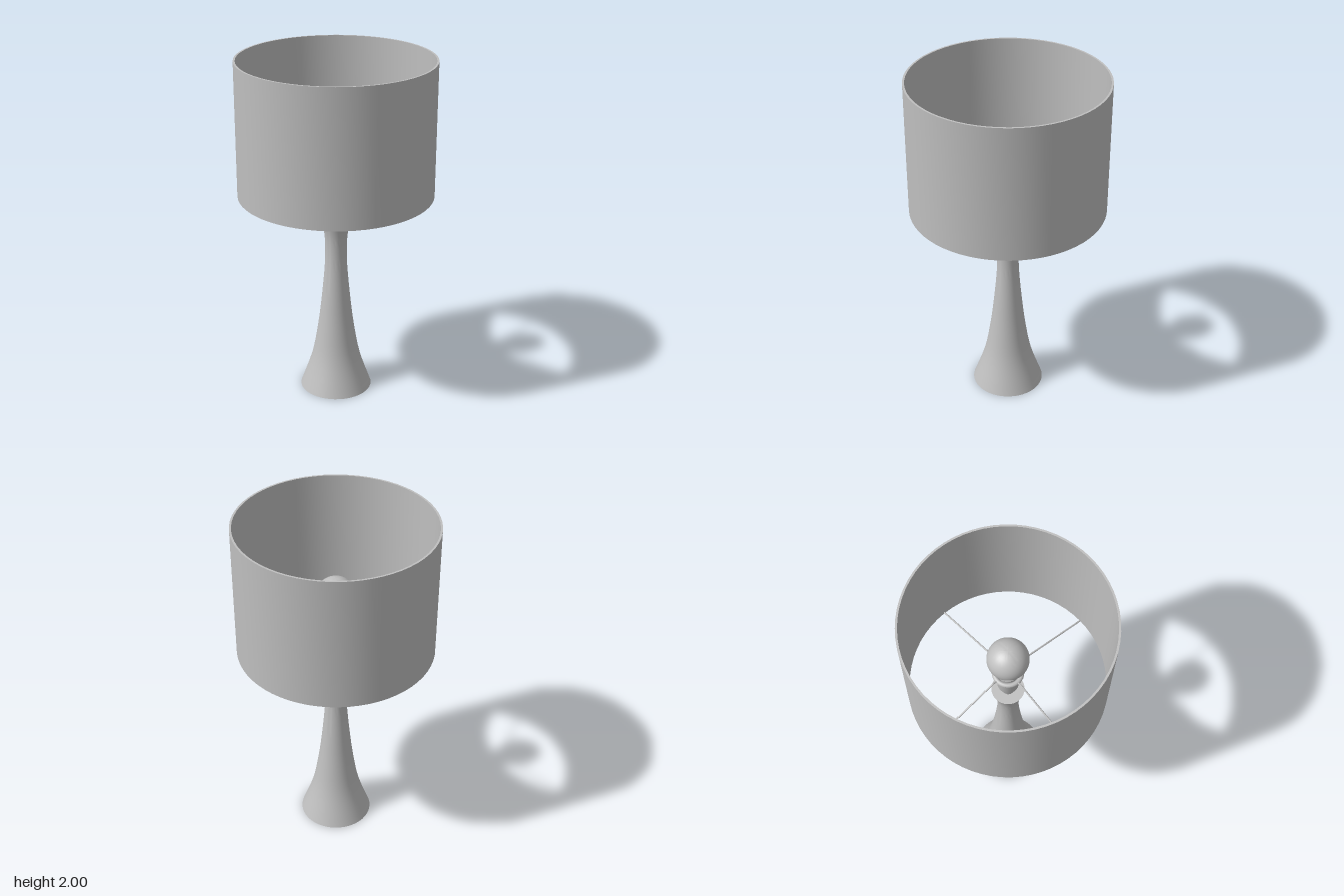
import * as THREE from 'three';
import { toCreasedNormals } from 'three/addons/utils/BufferGeometryUtils.js';

export function createModel() {
  const lamp = new THREE.Group();
  lamp.name = 'tableLamp';
  const grey = new THREE.MeshStandardMaterial({ color: 0xbfbfbf });
  grey.name = 'plain grey';

  const add = (name, geometry) => {
    const mesh = new THREE.Mesh(geometry, grey);
    mesh.name = name;
    lamp.add(mesh);
    return mesh;
  };
  // Turned part from [radius, height] pairs, bottom to top
  const turned = (name, profile, sides = 48) => {
    const points = profile.map(([r, y]) => new THREE.Vector2(r, y));
    return add(name, toCreasedNormals(new THREE.LatheGeometry(points, sides), 0.7));
  };

  // Waisted foot, with a smooth curve through its side
  const side = new THREE.SplineCurve([
    [0.21, 0], [0.142, 0.2], [0.105, 0.4], [0.081, 0.6], [0.064, 0.8],
    [0.064, 0.94], [0.076, 1.03], [0.094, 1.1],
  ].map(([r, y]) => new THREE.Vector2(r, y))).getPoints(28).map((p) => [p.x, p.y]);
  turned('base', [[0, 0], ...side, [0, 1.1]]);

  // Stem and bulb socket
  turned('stem', [[0.035, 1.09], [0.035, 1.17]], 32);
  turned('socket', [
    [0, 1.155], [0.04, 1.155], [0.054, 1.168], [0.06, 1.19],
    [0.06, 1.37], [0.048, 1.37], [0.048, 1.42], [0, 1.42],
  ], 32);

  // Bulb: flared neck running into a sphere
  const bulb = [[0, 1.405], [0.055, 1.405], [0.057, 1.43], [0.068, 1.46], [0.088, 1.49]];
  for (let i = 0; i <= 16; i++) {
    const a = -0.4 + (i / 16) * (Math.PI / 2 + 0.4);
    bulb.push([Math.max(0, 0.115 * Math.cos(a)), 1.55 + 0.115 * Math.sin(a)]);
  }
  turned('bulb', bulb);

  // Ring and four bent spokes that carry the shade
  const ring = add('shadeRing', new THREE.TorusGeometry(0.075, 0.014, 10, 40));
  ring.rotation.x = Math.PI / 2;
  ring.position.y = 1.35;
  const path = new THREE.CurvePath();
  const bends = [[0.07, 1.35], [0.105, 1.365], [0.13, 1.358], [0.548, 1.235]]
    .map(([r, y]) => new THREE.Vector3(r, y, 0));
  for (let i = 0; i < 3; i++) path.add(new THREE.LineCurve3(bends[i], bends[i + 1]));
  const spokeGeometry = new THREE.TubeGeometry(path, 40, 0.005, 8);
  for (let i = 0; i < 4; i++) {
    add('spoke', spokeGeometry).rotation.y = (i * Math.PI) / 2;
  }

  // Drum shade with a thin wall, open at both ends
  turned('shade', [
    [0.556, 1.225], [0.556, 2], [0.545, 2], [0.545, 1.225], [0.556, 1.225],
  ], 64);

  return lamp;
}
